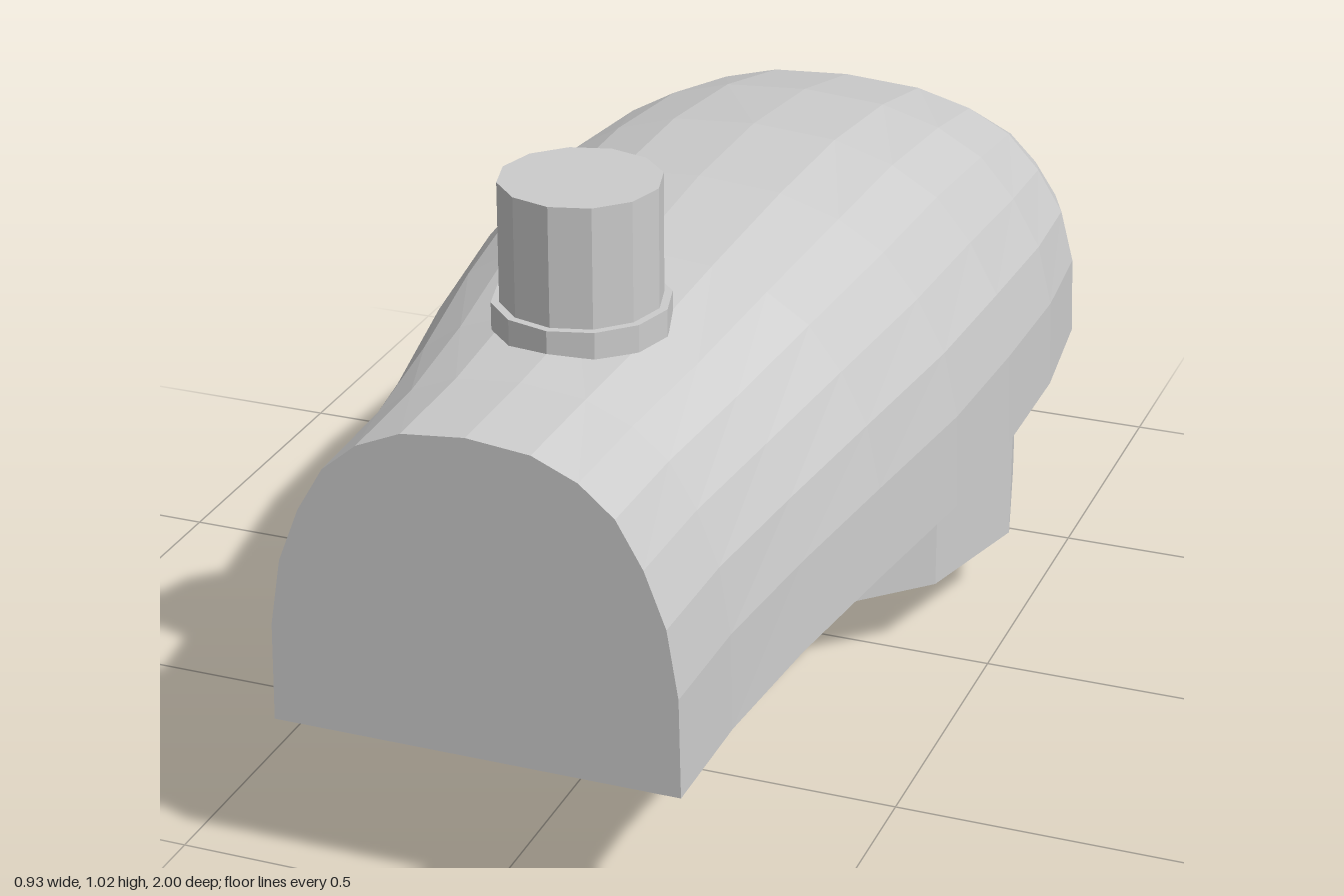
import * as THREE from 'three';

const grey = new THREE.MeshStandardMaterial({ color: 0xcccccc });
grey.name = 'paleGrey';

// Faceted mesh with one normal per face
function part(name, geometry, x = 0, y = 0, z = 0) {
  const flat = geometry.index ? geometry.toNonIndexed() : geometry;
  flat.computeVertexNormals();
  const mesh = new THREE.Mesh(flat, grey);
  mesh.name = name;
  mesh.position.set(x, y, z);
  return mesh;
}

// Arched housing lofted through cross-sections along z
function housingGeometry() {
  const half = [[1, 0], [0.99, 0.31], [0.935, 0.52], [0.83, 0.69], [0.7, 0.83], [0.53, 0.92], [0.31, 0.98]];
  const arch = [...half, [0, 1], ...half.slice().reverse().map(([x, y]) => [-x, y])];
  // z, half width, bottom, top
  const stations = [
    [1, 0.33, 0.26, 0.787], [0.8, 0.336, 0.27, 0.788], [0.58, 0.37, 0.295, 0.797],
    [0.34, 0.415, 0.315, 0.822], [0.06, 0.456, 0.32, 0.842], [-0.2, 0.467, 0.32, 0.841],
    [-0.46, 0.465, 0.32, 0.813], [-0.69, 0.44, 0.325, 0.762], [-0.85, 0.38, 0.335, 0.685],
    [-0.95, 0.28, 0.365, 0.6], [-1, 0.16, 0.405, 0.52],
  ];
  const n = arch.length;
  const positions = [];
  const index = [];
  for (const [z, w, bottom, top] of stations) {
    for (const [x, y] of arch) positions.push(x * w, bottom + y * (top - bottom), z);
  }
  for (let i = 0; i < stations.length - 1; i++) {
    for (let j = 0; j < n; j++) {
      const k = (j + 1) % n;
      const a = i * n + j, b = i * n + k, c = b + n, d = a + n;
      index.push(a, d, c, a, c, b);
    }
  }
  // End caps
  const last = (stations.length - 1) * n;
  for (let j = 1; j < n - 1; j++) {
    index.push(0, j, j + 1);
    index.push(last, last + j + 1, last + j);
  }
  const g = new THREE.BufferGeometry();
  g.setAttribute('position', new THREE.Float32BufferAttribute(positions, 3));
  g.setIndex(index);
  return g;
}

export function createModel() {
  const model = new THREE.Group();
  model.name = 'lampHead';
  const lampZ = -0.247;

  model.add(part('housing', housingGeometry()));

  // Open-bottomed lamp ring
  const ring = [[0.425, 0.33], [0.425, 0.125], [0.46, 0.125], [0.46, 0.325], [0.425, 0.33]]
    .map(([r, y]) => new THREE.Vector2(r, y));
  model.add(part('lampRing', new THREE.LatheGeometry(ring, 12), 0, 0, lampZ));

  // Lower half of a slightly stretched sphere
  const dome = new THREE.SphereGeometry(0.385, 12, 6, 0, Math.PI * 2, Math.PI / 2, Math.PI / 2);
  dome.scale(1, 1, 1.07);
  model.add(part('lensDome', dome, 0, 0.385, lampZ));

  // Small latch under the nose
  model.add(part('latch', new THREE.BoxGeometry(0.14, 0.07, 0.11), 0, 0.325, -0.825));

  // Sensor post on its collar
  model.add(part('postCollar', new THREE.CylinderGeometry(0.14, 0.14, 0.045, 12), 0, 0.807, 0.56));
  model.add(part('sensorPost', new THREE.CylinderGeometry(0.127, 0.127, 0.225, 12), 0, 0.912, 0.56));

  return model;
}
